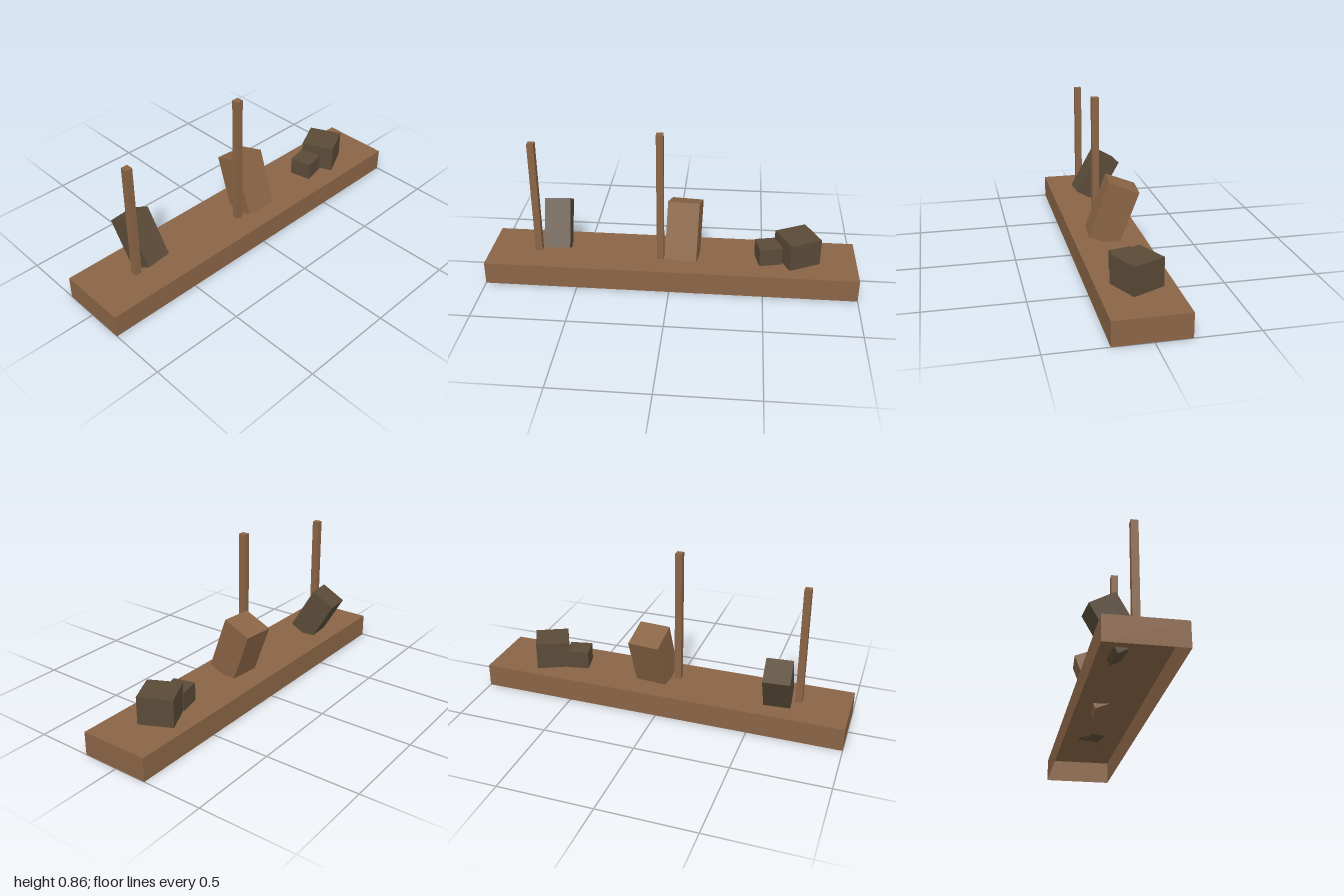
import * as THREE from 'three';

export function createModel() {
  const model = new THREE.Group();
  const wood = new THREE.MeshStandardMaterial({ color: 0x8a6546, side: THREE.DoubleSide });
  wood.name = 'brown wood';
  const darkWood = new THREE.MeshStandardMaterial({ color: 0x5b4b38 });
  darkWood.name = 'dark wood';

  const deckY = 0.125;

  // Adds a box; yaw turns it about the vertical, tilt leans it back
  function addBox(name, material, size, position, yaw = 0, tilt = 0) {
    const mesh = new THREE.Mesh(new THREE.BoxGeometry(...size), material);
    mesh.name = name;
    mesh.position.set(...position);
    mesh.rotation.set(-tilt, yaw, 0, 'YXZ');
    model.add(mesh);
    return mesh;
  }

  // Platform: a thin shell, open underneath
  const platform = addBox('platform', wood, [2, deckY, 0.375], [0, deckY / 2, 0.0095]);
  const index = Array.from(platform.geometry.index.array);
  index.splice(18, 6); // drop the bottom face
  platform.geometry.setIndex(index);
  platform.geometry.clearGroups();

  // Upright posts
  for (const [name, x, z, top] of [
    ['rightPost', -0.733, 0.022, 0.767],
    ['middlePost', -0.057, 0.051, 0.858],
  ]) {
    addBox(name, wood, [0.037, top - deckY, 0.037], [x, (top + deckY) / 2, z]);
  }

  // Leaning blocks, sunk slightly into the platform
  addBox('darkLeaningBlock', darkWood, [0.14, 0.27, 0.146], [-0.633, 0.247, -0.062], 0.083, 0.523);
  addBox('brownLeaningBlock', wood, [0.17, 0.313, 0.168], [0.067, 0.273, -0.013], -0.082, 0.358);

  // Low crates
  addBox('smallCrate', darkWood, [0.122, 0.098, 0.12], [0.524, deckY + 0.049, 0.021], 0.22);
  addBox('largeCrate', darkWood, [0.182, 0.149, 0.182], [0.68, deckY + 0.0745, 0.003], 0.457);

  return model;
}
